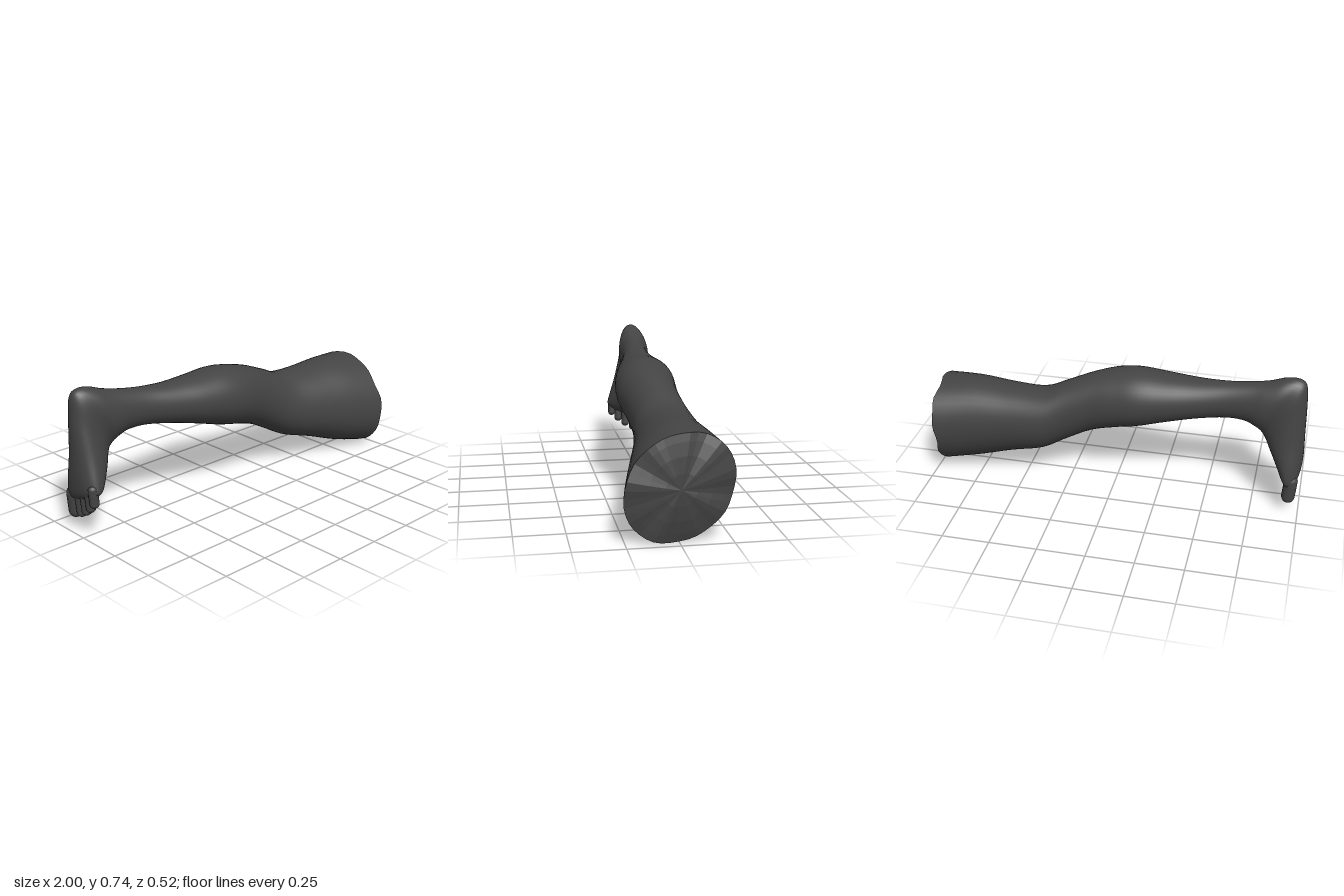
import * as THREE from 'three';

// Cross-sections from thigh to toes: [backX, backY, frontX, frontY, zMin, zMax]
const SECTIONS = [
  [0.965, 0.52, 0.955, 0, -0.255, 0.255],
  [0.78, 0.527, 0.78, 0.04, -0.226, 0.215],
  [0.58, 0.516, 0.58, 0.107, -0.21, 0.166],
  [0.4, 0.521, 0.4, 0.16, -0.202, 0.125],
  [0.27, 0.572, 0.26, 0.233, -0.172, 0.11],
  [0.13, 0.627, 0.13, 0.297, -0.16, 0.125],
  [0, 0.662, 0, 0.335, -0.17, 0.147],
  [-0.12, 0.676, -0.12, 0.362, -0.178, 0.146],
  [-0.27, 0.667, -0.27, 0.406, -0.161, 0.12],
  [-0.43, 0.662, -0.43, 0.447, -0.136, 0.078],
  [-0.58, 0.671, -0.58, 0.474, -0.121, 0.04],
  [-0.71, 0.69, -0.68, 0.473, -0.127, 0.027],
  [-0.8, 0.71, -0.735, 0.453, -0.145, 0.028],
  [-0.88, 0.738, -0.762, 0.435, -0.148, 0.025],
  [-0.945, 0.742, -0.776, 0.418, -0.14, 0.015],
  [-0.982, 0.71, -0.788, 0.401, -0.14, 0.012],
  [-0.992, 0.6, -0.8, 0.378, -0.143, 0.02],
  [-0.996, 0.43, -0.823, 0.328, -0.155, 0.047],
  [-1, 0.28, -0.865, 0.25, -0.172, 0.075],
  [-0.99, 0.205, -0.9, 0.198, -0.166, 0.075],
  [-0.955, 0.175, -0.945, 0.175, -0.1, 0.02],
];
const LAST = SECTIONS.length - 1, FOOT = 16, AROUND = 40, STEPS = 5;

// Smooth interpolation through the table
function sectionAt(t) {
  const i = Math.min(Math.floor(t), LAST - 1), f = t - i;
  const [a, b, c, d] = [-1, 0, 1, 2].map(k => SECTIONS[THREE.MathUtils.clamp(i + k, 0, LAST)]);
  return b.map((p, k) => p + 0.5 * f * (c[k] - a[k] +
    f * (2 * a[k] - 5 * p + 4 * c[k] - d[k] + f * (3 * (p - c[k]) + d[k] - a[k]))));
}

// Ring at t; angle 0 is the calf / sole side, PI the shin / instep side
function ringAt(t, r = 1) {
  const [bx, by, fx, fy, z0, z1] = sectionAt(t);
  // The thigh leans sideways; the foot slopes down to the big toe
  const foot = THREE.MathUtils.clamp((t - FOOT) / 3, 0, 1);
  const shear = 0.018 * foot - 0.045 * Math.max(0, bx);
  const slant = 0.32 * foot * foot;
  const power = v => Math.sign(v) * Math.abs(v) ** (0.97 - 0.1 * foot) * r;
  return Array.from({ length: AROUND }, (_, j) => {
    const angle = j / AROUND * Math.PI * 2;
    const c = power(Math.cos(angle)), dz = power(Math.sin(angle)) * (z1 - z0) / 2 + c * shear;
    // Uneven edge where the thigh ends
    const wave = t === 0 ? r * (0.006 * Math.sin(5 * angle) + 0.005 * Math.sin(9 * angle + 1)) : 0;
    return [(bx + fx) / 2 + c * (bx - fx) / 2 + wave,
      (by + fy) / 2 + c * (by - fy) / 2 + slant * dz, (z0 + z1) / 2 + dz];
  });
}

// Skin a list of closed rings
function skin(rings) {
  const index = [];
  for (let i = 0; i < rings.length - 1; i++) {
    for (let j = 0; j < AROUND; j++) {
      const a = i * AROUND + j, c = i * AROUND + (j + 1) % AROUND;
      index.push(a, a + AROUND, c, c, a + AROUND, c + AROUND);
    }
  }
  const g = new THREE.BufferGeometry();
  g.setAttribute('position', new THREE.Float32BufferAttribute(rings.flat(2), 3));
  g.setIndex(index);
  g.computeVertexNormals();
  return g;
}

export function createModel() {
  const model = new THREE.Group();
  model.name = 'leg';
  const skinMaterial = new THREE.MeshStandardMaterial({ color: 0x444444 });
  const cutMaterial = new THREE.MeshStandardMaterial({ color: 0x444444, flatShading: true });
  const add = (name, geometry, material) => {
    const mesh = new THREE.Mesh(geometry, material);
    mesh.name = name;
    model.add(mesh);
    return mesh;
  };

  // Thigh, knee, calf, heel and foot in one skin
  const rings = Array.from({ length: LAST * STEPS + 1 }, (_, i) => ringAt(i / STEPS));
  add('legAndFoot', skin(rings), skinMaterial);

  // Slightly domed end of the thigh
  const cap = [0, 0.3, 0.6, 0.85, 1].map(r =>
    ringAt(0, r).map(([x, y, z]) => [x + 0.036 * (1 - r * r), y, z]));
  add('thighEnd', skin(cap), cutMaterial);

  // Toes, big to little: [z, tipY, radius, length, x]
  const toes = [
    [-0.136, 0.05, 0.037, 0.17, -0.947],
    [-0.077, 0.072, 0.025, 0.16, -0.95],
    [-0.029, 0.098, 0.024, 0.15, -0.955],
    [0.015, 0.13, 0.023, 0.14, -0.96],
    [0.055, 0.168, 0.022, 0.12, -0.966],
  ];
  toes.forEach(([z, tip, r, length, x], i) => {
    const toe = add(i ? `toe${i + 1}` : 'bigToe',
      new THREE.CapsuleGeometry(r, length - 2 * r, 8, 20), skinMaterial);
    toe.position.set(x, tip + length / 2, z);
    toe.scale.x = i ? 1.15 : 0.95;
    toe.rotation.z = 0.08;
  });
  return model;
}
